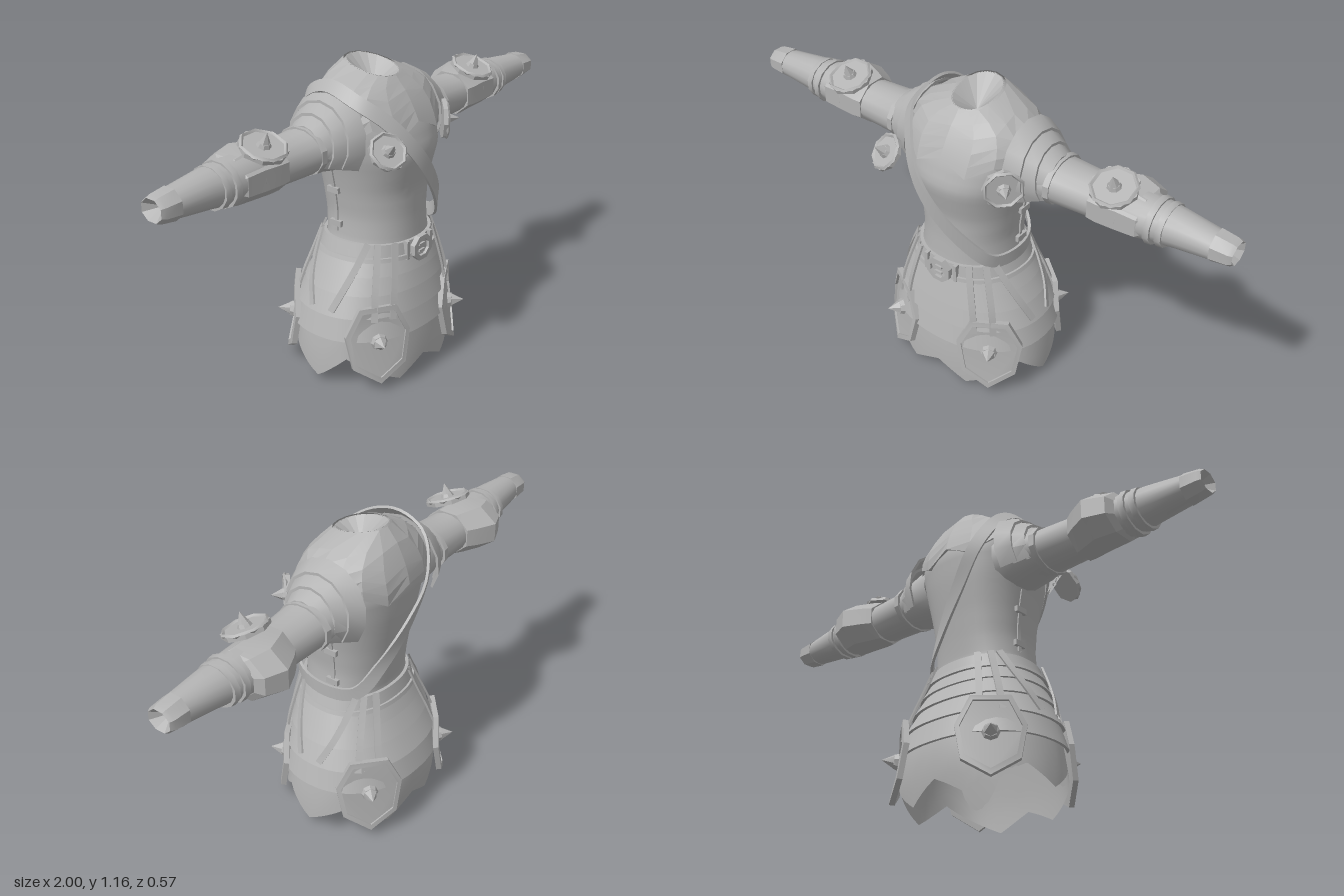
import * as THREE from 'three';
import { toCreasedNormals, mergeGeometries } from 'three/addons/utils/BufferGeometryUtils.js';

const V = (x, y, z) => new THREE.Vector3(x, y, z);
const rad = (d) => d * Math.PI / 180;
const turn = (i, n) => i / n * 2 * Math.PI;

// body outline: y, half width, front depth, back depth, slant of the ring
const BODY = [
  [0, .32, .24, .235, 0], [.1, .315, .24, .252, 0], [.2, .3, .232, .25, 0], [.3, .28, .222, .23, 0],
  [.4, .238, .21, .18, 0], [.53, .185, .195, .14, 0], [.62, .178, .19, .15, 0], [.72, .19, .192, .165, 0],
  [.8, .205, .212, .18, 0], [.86, .22, .226, .19, 0], [.95, .238, .2, .2, 0], [1.02, .24, .165, .185, 0],
  [1.07, .205, .13, .162, 0], [1.11, .13, .1, .135, .01], [1.135, .075, .09, .1, .022],
];

// point on the body at an angle (0 = front, 90 degrees = +x) and height, pushed out by off
function onBody(t, y, off = 0) {
  let i = 0;
  while (i < BODY.length - 2 && BODY[i + 1][0] < y) i++;
  const a = BODY[i], b = BODY[i + 1];
  const k = THREE.MathUtils.clamp((y - a[0]) / (b[0] - a[0]), 0, 1);
  const [, rx, zf, zb, slant] = a.map((v, j) => v + (b[j] - v) * k);
  const s = Math.sin(t), c = Math.cos(t);
  const soft = (v) => Math.sign(v) * Math.abs(v) ** 0.9;
  return V(soft(s) * rx + s * off, y - slant * c, soft(c) * (c > 0 ? zf : zb) + c * off);
}

// height of the jagged hem at an angle: long points at the front, sides and back
const HEM = [[0, .068], [20, .01], [65, .12], [90, .03], [125, .12], [160, 0], [180, .068]];
function hemHeight(t) {
  const d = Math.min(t, 2 * Math.PI - t) * 180 / Math.PI;
  const i = HEM.findIndex((h, n) => n > 0 && d <= h[0] + 1e-6), [a, ya] = HEM[i - 1], [b, yb] = HEM[i];
  return ya + (yb - ya) * (d - a) / (b - a);
}

// keep positions only, so that parts can be merged and shaded alike
function bare(geo) {
  const g = geo.index ? geo.toNonIndexed() : geo;
  return new THREE.BufferGeometry().setAttribute('position', g.getAttribute('position').clone());
}
const finish = (parts, crease = 0.6) => toCreasedNormals(mergeGeometries([parts].flat().map(bare)), crease);

function mirrored(geo, crease) {
  const g = bare(geo).scale(-1, 1, 1), p = g.attributes.position;
  for (let i = 0; i < p.count; i += 3) {
    const a = V().fromBufferAttribute(p, i + 1), b = V().fromBufferAttribute(p, i + 2);
    p.setXYZ(i + 1, b.x, b.y, b.z);
    p.setXYZ(i + 2, a.x, a.y, a.z);
  }
  return finish(g, crease);
}

// skin over a grid of points f(i, j); either direction can close on itself
function surface(nu, nv, f, closeU, closeV) {
  const pos = [], index = [], cu = closeU ? nu : nu + 1, cv = closeV ? nv : nv + 1;
  for (let i = 0; i < cu; i++) for (let j = 0; j < cv; j++) pos.push(...f(i, j).toArray());
  const id = (i, j) => (i % cu) * cv + (j % cv);
  for (let i = 0; i < nu; i++) for (let j = 0; j < nv; j++) {
    const a = id(i, j), b = id(i + 1, j), c = id(i + 1, j + 1), d = id(i, j + 1);
    index.push(a, c, b, a, d, c);
  }
  const g = new THREE.BufferGeometry().setAttribute('position', new THREE.Float32BufferAttribute(pos, 3));
  g.setIndex(index);
  return g;
}

// solid band round the body between two heights
const band = (yTop, yBot, offTop, offBot, thick, n = 48) => surface(n, 4, (i, j) => {
  const top = j === 0 || j === 3;
  return onBody(turn(i, n), top ? yTop : yBot, (top ? offTop : offBot) + (j < 2 ? thick : 0));
}, true, true);

// flat strap along a curve, facing away from the body
function ribbon(points, width, thick, closed = false, n = 16) {
  const curve = new THREE.CatmullRomCurve3(points, closed);
  return surface(n, 4, (i, j) => {
    const u = i / n, p = curve.getPoint(u), t = curve.getTangent(u);
    const out = V(p.x, Math.max(0, p.y - .9), p.z).normalize();
    const side = V().crossVectors(t, out).normalize();
    return p.addScaledVector(side, (j === 0 || j === 3 ? -.5 : .5) * width).addScaledVector(out, j < 2 ? thick : 0);
  }, closed, true);
}

// tube along x from sections: x, centre y, centre z, radius y, radius z
const sleeve = (rows, sides) => surface(sides, rows.length - 1, (i, j) => {
  const [x, y, z, ry, rz] = rows[j], a = turn(i + .5, sides);
  return V(x, y + Math.cos(a) * ry, z + Math.sin(a) * rz);
}, true, false);

// spiked octagonal disc with a raised rim, turned to a normal
function spikedDisc(pos, normal, r) {
  const q = new THREE.Quaternion().setFromUnitVectors(V(0, 1, 0), normal.normalize());
  return [
    new THREE.CylinderGeometry(r, r, .016, 8),
    new THREE.TorusGeometry(r * .93, .007, 4, 8).rotateX(Math.PI / 2).rotateY(Math.PI / 8).translate(0, .008, 0),
    new THREE.CylinderGeometry(.02, .026, .014, 8).translate(0, .014, 0),
    new THREE.ConeGeometry(.02, .04, 6).translate(0, .04, 0),
  ].map((g) => g.applyQuaternion(q).translate(pos.x, pos.y, pos.z));
}

// hanging plate with rim and spike, bent round the hips
function tasset(at, facing, off) {
  const pts = [[-.07, .135], [.07, .135], [.122, .03], [.1, -.095], [0, -.16], [-.1, -.095], [-.122, .03]];
  const outline = (k) => pts.map(([x, y]) => new THREE.Vector2(x * k, y * k));
  const rim = new THREE.Shape(outline(1));
  rim.holes.push(new THREE.Path(outline(.86)));
  const p = onBody(rad(at), .19, off);
  const parts = [
    new THREE.ExtrudeGeometry(new THREE.Shape(outline(.97)), { depth: .014, bevelEnabled: false }),
    new THREE.ExtrudeGeometry(rim, { depth: .02, bevelEnabled: false }),
    new THREE.CylinderGeometry(.026, .032, .016, 8).rotateX(Math.PI / 2).translate(0, 0, .016),
    new THREE.ConeGeometry(.026, .045, 6).rotateX(Math.PI / 2).translate(0, 0, .045),
  ];
  return parts.map((g) => {
    const v = g.attributes.position;
    for (let i = 0; i < v.count; i++) v.setZ(i, v.getZ(i) - 1.4 * v.getX(i) ** 2);
    return g.rotateX(-.1).rotateY(rad(facing)).translate(p.x, p.y, p.z);
  });
}

export function createModel() {
  const model = new THREE.Group();
  model.name = 'armour';
  const grey = new THREE.MeshStandardMaterial({ color: 0xb3b3b3, side: THREE.DoubleSide });
  grey.name = 'grey';
  const add = (name, parts, crease) => {
    const mesh = new THREE.Mesh(finish(parts, crease), grey);
    mesh.name = name;
    model.add(mesh);
    return mesh;
  };
  const pair = (name, parts, crease) => {
    const left = add(name + 'Left', parts, crease);
    const right = new THREE.Mesh(mirrored(left.geometry, crease), grey);
    right.name = name + 'Right';
    model.add(right);
  };

  // torso, neck hollow and jagged skirt
  add('torso', surface(40, 24, (i, j) => onBody(turn(i, 40), .5 + .635 * j / 24), true, false), 1);
  add('neckHollow', surface(16, 2, (i, j) =>
    onBody(turn(i, 16), 1.135, .004).lerp(V(0, 1.06, 0), j / 2), true, false), .2);
  add('skirtHem', surface(72, 5, (i, j) => {
    const t = turn(i, 72), hem = hemHeight(t);
    return onBody(t, hem + (.3 - hem) * j / 5);
  }, true, false), 1);

  // faceted jagged collar plate over chest, shoulders and back
  add('collarPlate', surface(16, 6, (i, j) => {
    const t = turn(i, 16), low = i % 2 ? .925 : .97;
    return onBody(t, low + (1.135 - low) * Math.max(0, j - 1) / 5, j === 0 ? 0 : .012);
  }, true, false), .15);

  // overlapping skirt bands and belt
  [[.5, .425], [.44, .36], [.375, .28], [.295, .195]].forEach(([top, bottom], i) =>
    add('skirtBand' + (i + 1), band(top, bottom, -.006, .008, .012)));
  add('belt', [band(.535, .485, .002, .002, .012), band(.49, .475, .006, .006, .016)]);
  const ring = new THREE.Shape(), hole = new THREE.Path();
  for (let i = 0; i < 8; i++) {
    const a = turn(i + .5, 8);
    ring[i ? 'lineTo' : 'moveTo'](.054 * Math.cos(a), .05 * Math.sin(a));
    hole[i ? 'lineTo' : 'moveTo'](.036 * Math.cos(a), .032 * Math.sin(a));
  }
  ring.holes.push(hole);
  add('buckle', [
    new THREE.ExtrudeGeometry(ring, { depth: .02, bevelEnabled: false }).translate(0, .5, .212),
    new THREE.BoxGeometry(.075, .06, .01).translate(0, .5, .216),
    ...[-.012, .012].map((y) => new THREE.BoxGeometry(.03, .008, .012).translate(0, .5 + y, .223)),
    ...[-.065, .065].map((x) => new THREE.BoxGeometry(.014, .07, .02).translate(x, .505, .207)),
  ]);

  // hanging plates and the straps that hold them
  pair('frontTasset', tasset(39, 31, .008));
  pair('backTasset', tasset(139, 139, .01));
  const straps = [[30, 28, .27], [48, 43, .27], [58, 80, .3], [128, 97, .3], [138, 130, .28], [153, 147, .28]];
  pair('tassetStraps', straps.map(([a, b, y]) => ribbon([0, .33, .66, 1].map((k) =>
    onBody(rad(a + (b - a) * k), .54 + (y - .54) * k, .016 + .008 * Math.sin(k * 3))), .024, .008)));

  // laced seam under each arm
  pair('sideSeam', [
    ribbon([.56, .64, .72, .8].map((y) => onBody(rad(95), y, .001)), .014, .006),
    ...[.59, .72].map((y) => {
      const p = onBody(rad(95), y, .006);
      return new THREE.BoxGeometry(.014, .022, .05).translate(p.x, p.y, p.z);
    }),
  ]);

  // bandolier over the right shoulder down to the left hip
  add('bandolier', ribbon([V(-.2, 1.095, -.03), V(-.2, 1.06, .1), V(-.15, 1, .18), V(-.08, .9, .24), V(0, .79, .248),
    V(.1, .66, .205), V(.17, .565, .13), V(.195, .55, 0), V(.16, .56, -.1), V(.07, .66, -.15), V(-.04, .8, -.183),
    V(-.13, .94, -.188), V(-.19, 1.05, -.13)], .05, .01, true, 60));

  // shoulder discs
  add('shoulderDiscLeft', spikedDisc(V(.222, .908, .145), V(.7, 0, .7), .074));
  add('shoulderDiscRight', spikedDisc(V(-.21, .925, .235), V(-.3, .6, .7), .068));

  // sleeves, hollow cuffs and arm bands
  pair('sleeve', sleeve([[.17, .92, -.02, .12, .13], [.27, .91, -.02, .095, .118], [.33, .905, -.025, .08, .1],
    [.5, .9, -.03, .075, .088], [.6, .905, -.03, .08, .09], [.68, .905, -.03, .076, .086],
    [.8, .91, -.025, .064, .07], [.93, .91, -.022, .05, .055]], 16), 1);
  pair('cuff', sleeve([[.925, .91, -.022, .05, .054], [.925, .91, -.022, .056, .06],
    [.985, .91, -.022, .047, .056], [1, .91, -.022, .04, .048], [.95, .91, -.022, .001, .001]], 8), .4);
  pair('armBands', [[.33, .088, .108], [.705, .082, .092], [.745, .076, .086]].map(([x, ry, rz]) => sleeve([
    [x, .905, -.028, ry - .014, rz - .014], [x, .905, -.028, ry, rz],
    [x + .022, .905, -.028, ry - .002, rz - .002], [x + .022, .905, -.028, ry - .016, rz - .016]], 12)));

  // layered sloping shoulder plates, open below the arm
  pair('shoulderPlates', [0, 1, 2].map((k) => surface(10, 4, (i, j) => {
    const a = rad(-125 + 25 * i), outer = j === 1 || j === 2, far = j === 2 || j === 3;
    const r = .166 - .028 * k - (far ? .028 : 0) - (outer ? 0 : .01);
    const x = .2 + .042 * k + (far ? .056 : 0) + .012 * (1 - Math.cos(a));
    return V(x, .925 - .006 * k + Math.cos(a) * r, -.02 + Math.sin(a) * r);
  }, false, true)), .4);

  // elbow cup with spiked disc on top
  pair('elbowCup', sleeve([[.495, .9, -.03, .072, .085], [.495, .9, -.03, .086, .098], [.53, .9, -.04, .09, .112],
    [.6, .9, -.06, .094, .128], [.675, .9, -.046, .085, .11], [.69, .9, -.036, .07, .085]], 8), .3);
  pair('elbowDisc', spikedDisc(V(.57, .995, .02), V(.03, .92, .36), .084));

  return model;
}
